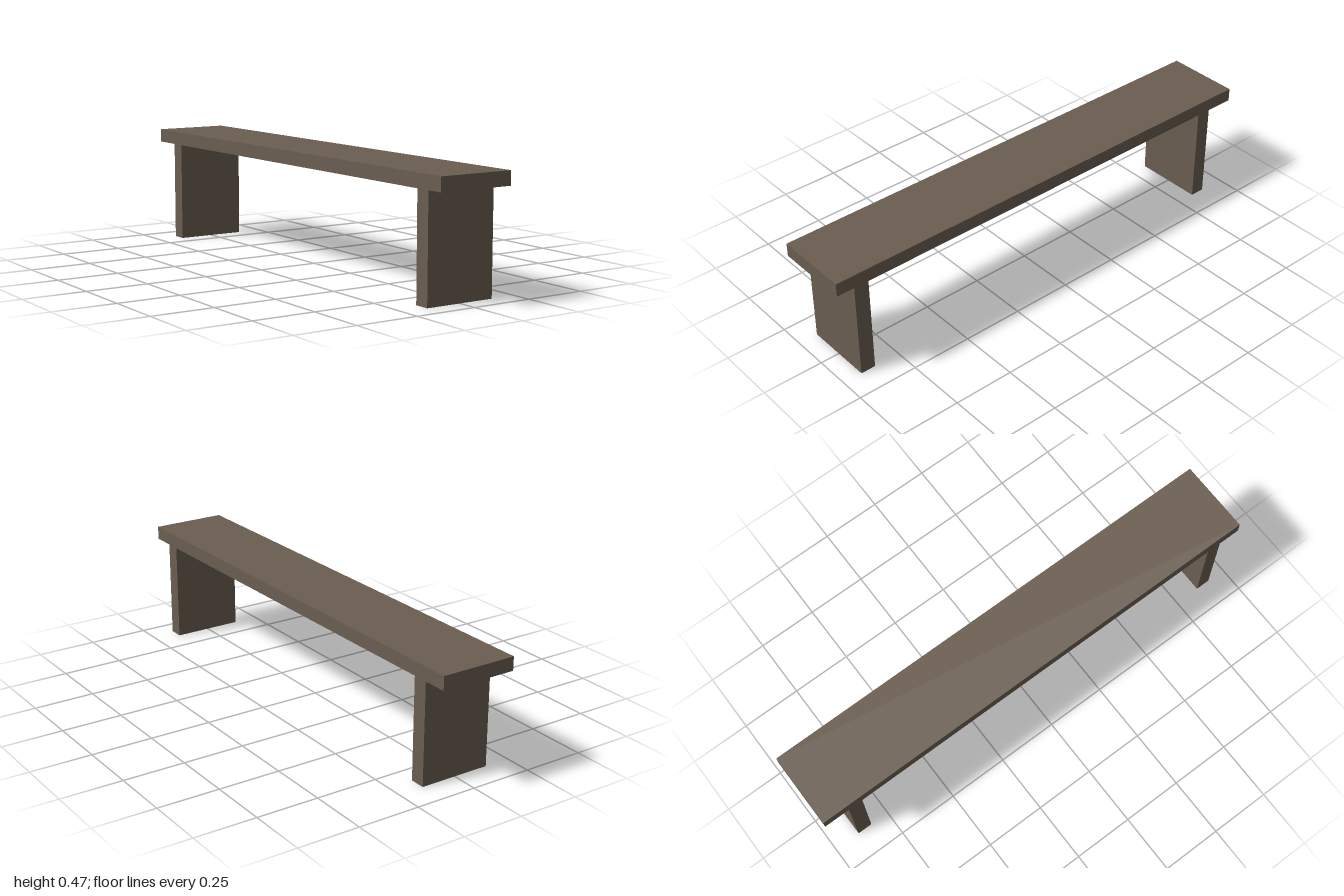
import * as THREE from 'three';

export function createModel() {
  const bench = new THREE.Group();
  bench.name = 'bench';

  const wood = new THREE.MeshStandardMaterial({ color: 0x6b5e51 });
  wood.name = 'weathered wood';

  const seatBottom = 0.414;
  const seatTop = 0.469;

  // Box standing on a given height, centred on x = 0
  function addBoard(name, width, bottom, top, depth, z) {
    const board = new THREE.Mesh(new THREE.BoxGeometry(width, top - bottom, depth), wood);
    board.name = name;
    board.position.set(0, (bottom + top) / 2, z);
    bench.add(board);
  }

  // Long seat plank
  addBoard('seat', 0.31, seatBottom, seatTop, 2, 0);

  // Slab legs, set slightly towards the front
  addBoard('frontLeg', 0.291, 0, seatBottom, 0.062, 0.889);
  addBoard('backLeg', 0.291, 0, seatBottom, 0.062, -0.86);

  return bench;
}
